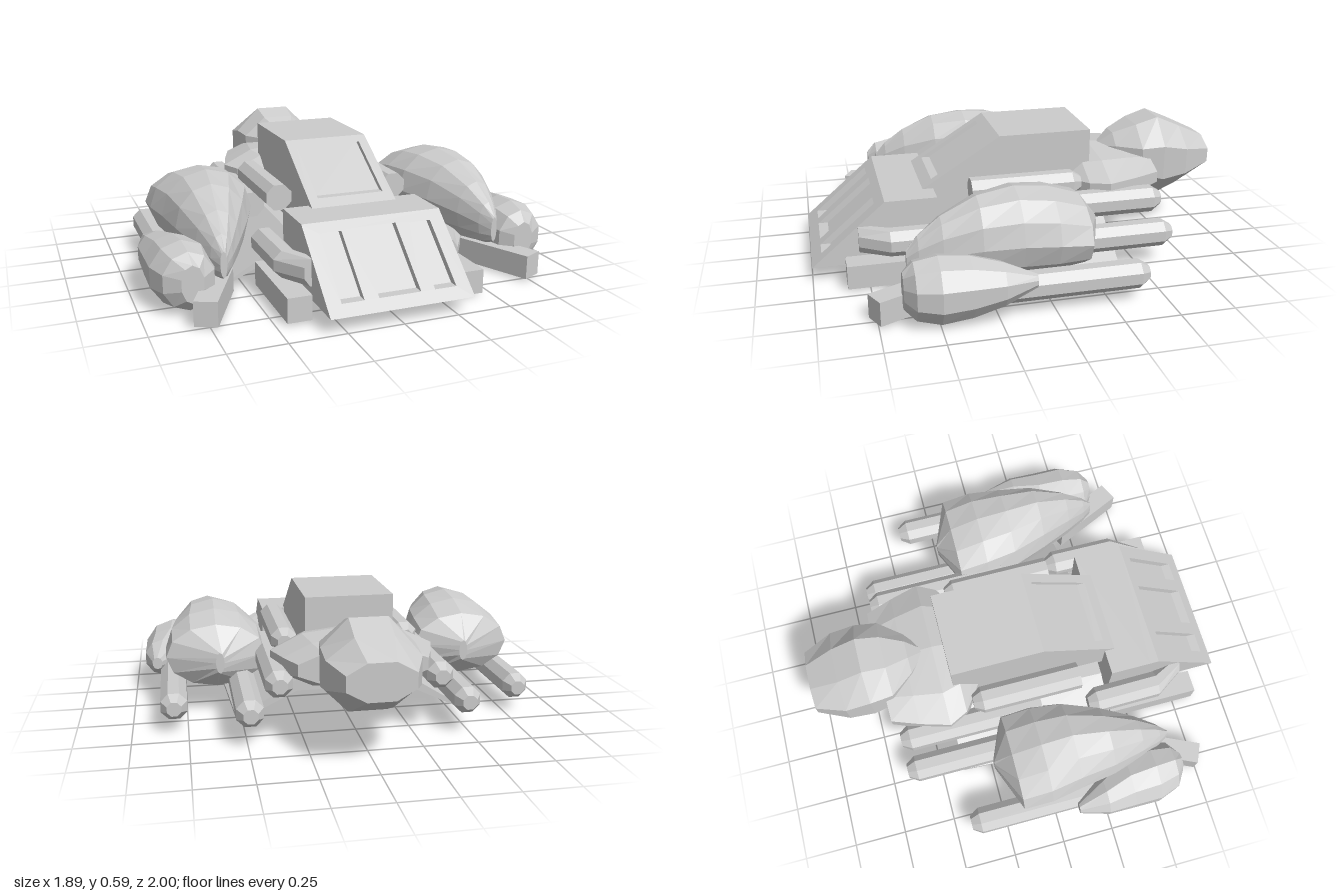
import * as THREE from 'three';

const material = new THREE.MeshStandardMaterial({ color: 0xcccccc, flatShading: true });

// Closed faceted hull through elliptical sections [z, cx, cy, rx, ry], z ascending
function loft(sections, sides, turn = 0) {
  const pos = [], index = [];
  for (const [z, cx, cy, rx, ry] of sections) {
    for (let j = 0; j < sides; j++) {
      const a = ((j + turn) / sides) * Math.PI * 2;
      pos.push(cx + Math.cos(a) * rx, cy + Math.sin(a) * ry, z);
    }
  }
  const last = sections.length - 1;
  for (let i = 0; i < last; i++) {
    for (let j = 0; j < sides; j++) {
      const k = (j + 1) % sides;
      const a = i * sides + j, b = i * sides + k;
      index.push(a, b, a + sides, b, b + sides, a + sides);
    }
  }
  for (let j = 1; j < sides - 1; j++) {
    index.push(0, j + 1, j);
    index.push(last * sides, last * sides + j, last * sides + j + 1);
  }
  const g = new THREE.BufferGeometry();
  g.setAttribute('position', new THREE.Float32BufferAttribute(pos, 3));
  g.setIndex(index);
  const flat = g.toNonIndexed();
  flat.computeVertexNormals();
  return flat;
}

function rectPath(target, x0, y0, x1, y1) {
  target.moveTo(x0, y0);
  target.lineTo(x1, y0);
  target.lineTo(x1, y1);
  target.lineTo(x0, y1);
  target.closePath();
  return target;
}

// Block with a sloping front face; holes [x0, y0, x1, y1] are sunk into the slope
function slopedBlock(name, halfWidth, y0, y1, z0, z1, back, bottom, depth, holes) {
  const group = new THREE.Group();
  group.name = name;
  const face = rectPath(new THREE.Shape(), -halfWidth, y0, halfWidth, y1);
  for (const h of holes) face.holes.push(rectPath(new THREE.Path(), ...h));
  const panel = new THREE.ExtrudeGeometry(face, { depth, bevelEnabled: false });
  const p = panel.attributes.position;
  for (let i = 0; i < p.count; i++) {
    const t = (p.getY(i) - y0) / (y1 - y0);
    p.setZ(i, p.getZ(i) - depth + z0 + (z1 - z0) * t);
  }
  panel.computeVertexNormals();
  const side = new THREE.Shape();
  side.moveTo(back, bottom);
  side.lineTo(z0 - depth, bottom);
  side.lineTo(z0 - depth, y0);
  side.lineTo(z1 - depth, y1);
  side.lineTo(back, y1);
  side.closePath();
  const body = new THREE.ExtrudeGeometry(side, { depth: halfWidth * 2, bevelEnabled: false });
  body.translate(0, 0, -halfWidth);
  body.rotateY(-Math.PI / 2);
  for (const [part, geometry] of [['Panel', panel], ['Body', body]]) {
    const mesh = new THREE.Mesh(geometry, material);
    mesh.name = name + part;
    group.add(mesh);
  }
  return group;
}

export function createModel() {
  const model = new THREE.Group();
  model.name = 'craft';
  const add = (name, geometry) => {
    const mesh = new THREE.Mesh(geometry, material);
    mesh.name = name;
    model.add(mesh);
    return mesh;
  };

  // Nose with three sunken vents, cabin with a sunken window
  model.add(slopedBlock('nose', 0.325, 0.07, 0.36, 1, 0.66, 0.42, 0.07, 0.045, [
    [-0.26, 0.11, -0.16, 0.325], [-0.095, 0.11, 0.095, 0.33], [0.16, 0.11, 0.26, 0.325],
  ]));
  model.add(slopedBlock('cabin', 0.205, 0.36, 0.59, 0.47, 0.1, -0.345, 0.2, 0.04, [
    [-0.16, 0.39, 0.16, 0.565],
  ]));

  // Lower hull: arched deck whose sides droop outward, narrower at the rear
  const arch = new THREE.Shape([
    [-0.57, 0.03], [-0.27, 0.165], [0.27, 0.165], [0.57, 0.03],
    [0.57, 0.045], [0.27, 0.22], [-0.27, 0.22], [-0.57, 0.045],
  ].map(([x, y]) => new THREE.Vector2(x, y)));
  const hull = new THREE.ExtrudeGeometry(arch, { depth: 0.785, bevelEnabled: false });
  hull.translate(0, 0, -0.39);
  const p = hull.attributes.position;
  for (let i = 0; i < p.count; i++) {
    if (p.getZ(i) < 0) p.setX(i, p.getX(i) * 0.93);
  }
  hull.computeVertexNormals();
  add('lowerHull', hull);

  // Rear body and the tail pod sitting on it
  add('rearBody', loft([
    [-0.67, 0, 0.35, 0.3, 0.085],
    [-0.54, 0, 0.335, 0.35, 0.12],
    [-0.4, 0, 0.325, 0.393, 0.14],
    [-0.31, 0, 0.325, 0.345, 0.125],
    [-0.22, 0, 0.33, 0.21, 0.08],
  ], 10, 0.5));
  add('tailPod', loft([
    [-1, 0, 0.39, 0.157, 0.088],
    [-0.86, 0, 0.385, 0.218, 0.165],
    [-0.74, 0, 0.385, 0.22, 0.222],
    [-0.63, 0, 0.395, 0.205, 0.175],
    [-0.52, 0, 0.42, 0.11, 0.1],
    [-0.44, 0, 0.43, 0.01, 0.02],
  ], 8, 0.5));

  for (const s of [1, -1]) {
    const prefix = s > 0 ? 'left' : 'right';

    // Large and small side pods, narrowing to an upright edge at the front
    add(prefix + 'LargePod', loft([
      [-0.245, s * 0.59, 0.27, 0.02, 0.05],
      [-0.16, s * 0.602, 0.285, 0.235, 0.15],
      [-0.02, s * 0.602, 0.295, 0.236, 0.185],
      [0.13, s * 0.6, 0.295, 0.212, 0.2],
      [0.3, s * 0.62, 0.285, 0.165, 0.187],
      [0.46, s * 0.635, 0.255, 0.1, 0.145],
      [0.56, s * 0.645, 0.225, 0.05, 0.1],
      [0.61, s * 0.65, 0.205, 0.015, 0.06],
    ], 12));
    add(prefix + 'SmallPod', loft([
      [0.1, s * 0.885, 0.18, 0.025, 0.03],
      [0.24, s * 0.855, 0.17, 0.095, 0.095],
      [0.37, s * 0.815, 0.155, 0.135, 0.135],
      [0.5, s * 0.805, 0.15, 0.145, 0.15],
      [0.6, s * 0.797, 0.15, 0.115, 0.13],
      [0.645, s * 0.79, 0.15, 0.05, 0.085],
    ], 10, 0.5));

    // Barrels with chamfered rear tips: [name, x, y, rear z, front z]
    for (const [name, x, y, z0, z1] of [
      ['OuterBarrel', 0.81, 0.12, -0.42, 0.3],
      ['LowerBarrel', 0.488, 0.152, -0.66, 0.1],
      ['UpperBarrel', 0.36, 0.275, -0.65, 0.05],
      ['CabinBarrel', 0.29, 0.362, -0.27, 0.26],
    ]) {
      const r = 0.065;
      add(prefix + name, loft([
        [z0, s * x, y, 0.035, 0.035], [z0 + 0.045, s * x, y, r, r], [z1, s * x, y, r, r],
      ], 8, 0.5));
    }

    // Front barrel, bent in toward the nose
    add(prefix + 'FrontBarrel', loft([
      [0.29, s * 0.39, 0.19, 0.035, 0.035],
      [0.335, s * 0.39, 0.19, 0.065, 0.065],
      [0.65, s * 0.387, 0.19, 0.065, 0.065],
      [0.785, s * 0.315, 0.19, 0.045, 0.065],
    ], 8, 0.5));

    // Skids
    const inner = add(prefix + 'InnerSkid', new THREE.BoxGeometry(0.108, 0.11, 0.45));
    inner.position.set(s * 0.4, 0.065, 0.625);
    const outer = add(prefix + 'OuterSkid', new THREE.BoxGeometry(0.1, 0.11, 0.38));
    outer.position.set(s * 0.69, 0.065, 0.59);
    outer.rotation.y = s * 0.43;
  }
  return model;
}
